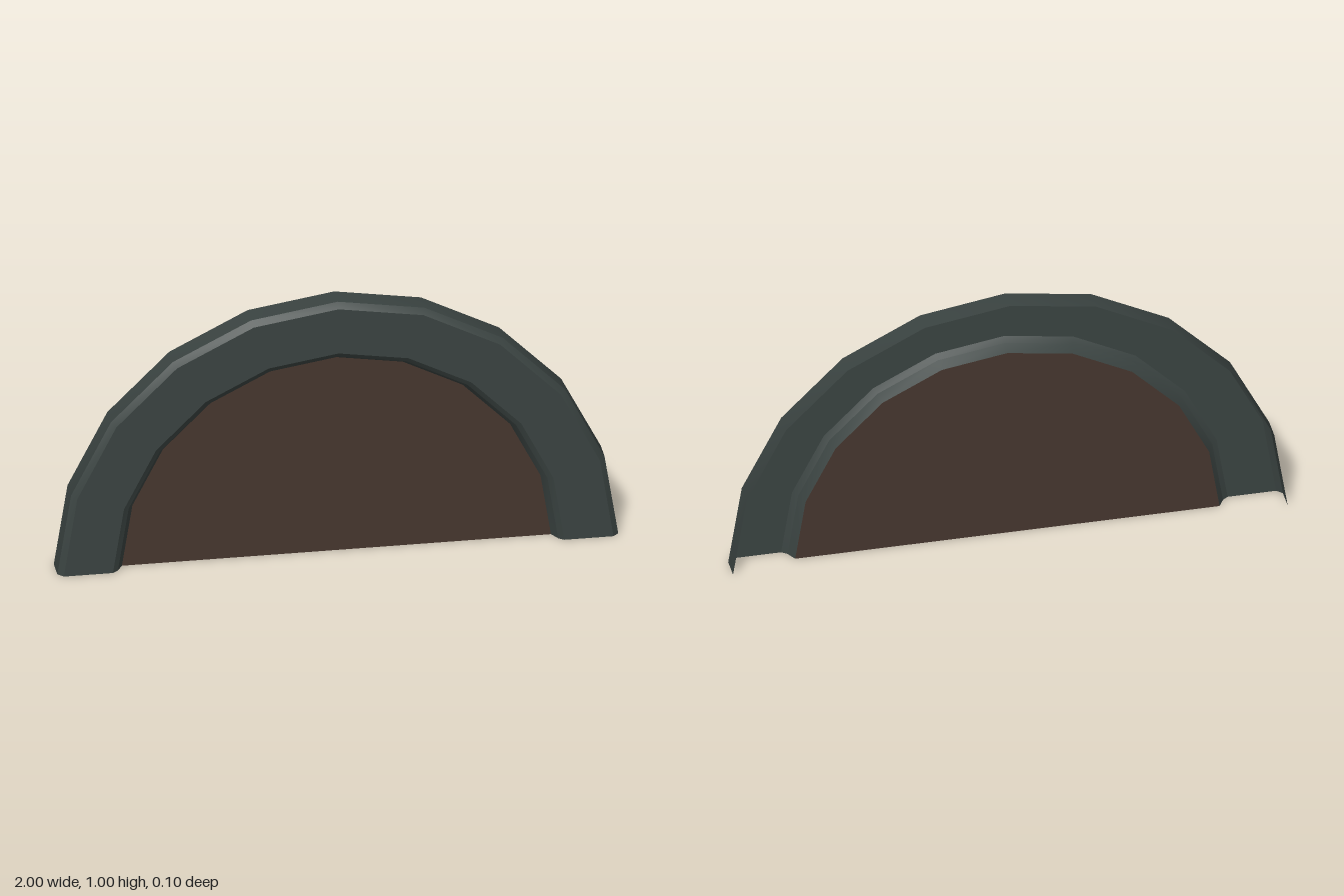
import * as THREE from 'three';
import { toCreasedNormals } from 'three/addons/utils/BufferGeometryUtils.js';

const SEGMENTS = 10;
const PANEL_RADIUS = 0.765;

export function createModel() {
  const group = new THREE.Group();
  group.name = 'archedPanel';

  const frameMaterial = new THREE.MeshStandardMaterial({ color: 0x3a4341, side: THREE.DoubleSide });
  frameMaterial.name = 'dark slate';
  const panelMaterial = new THREE.MeshStandardMaterial({ color: 0x46362e, side: THREE.DoubleSide });
  panelMaterial.name = 'dark brown';

  // Frame moulding, open at the back: radius and depth from rear rim to panel
  const profile = [
    [1, -0.05], [1, 0.03], [0.98, 0.05],
    [0.805, 0.05], [0.785, 0.035], [PANEL_RADIUS, 0],
  ].map(([r, z]) => new THREE.Vector2(r, z));

  // Half turn of the moulding, stood upright; smooth round the arc, sharp between bands
  const arch = new THREE.LatheGeometry(profile, SEGMENTS, Math.PI / 2, Math.PI);
  arch.rotateX(Math.PI / 2);
  const frame = new THREE.Mesh(toCreasedNormals(arch, 0.4), frameMaterial);
  frame.name = 'archFrame';
  group.add(frame);

  // Flat half-round panel filling the opening
  const panel = new THREE.Mesh(
    new THREE.CircleGeometry(PANEL_RADIUS, SEGMENTS, 0, Math.PI), panelMaterial);
  panel.name = 'panel';
  group.add(panel);

  return group;
}
